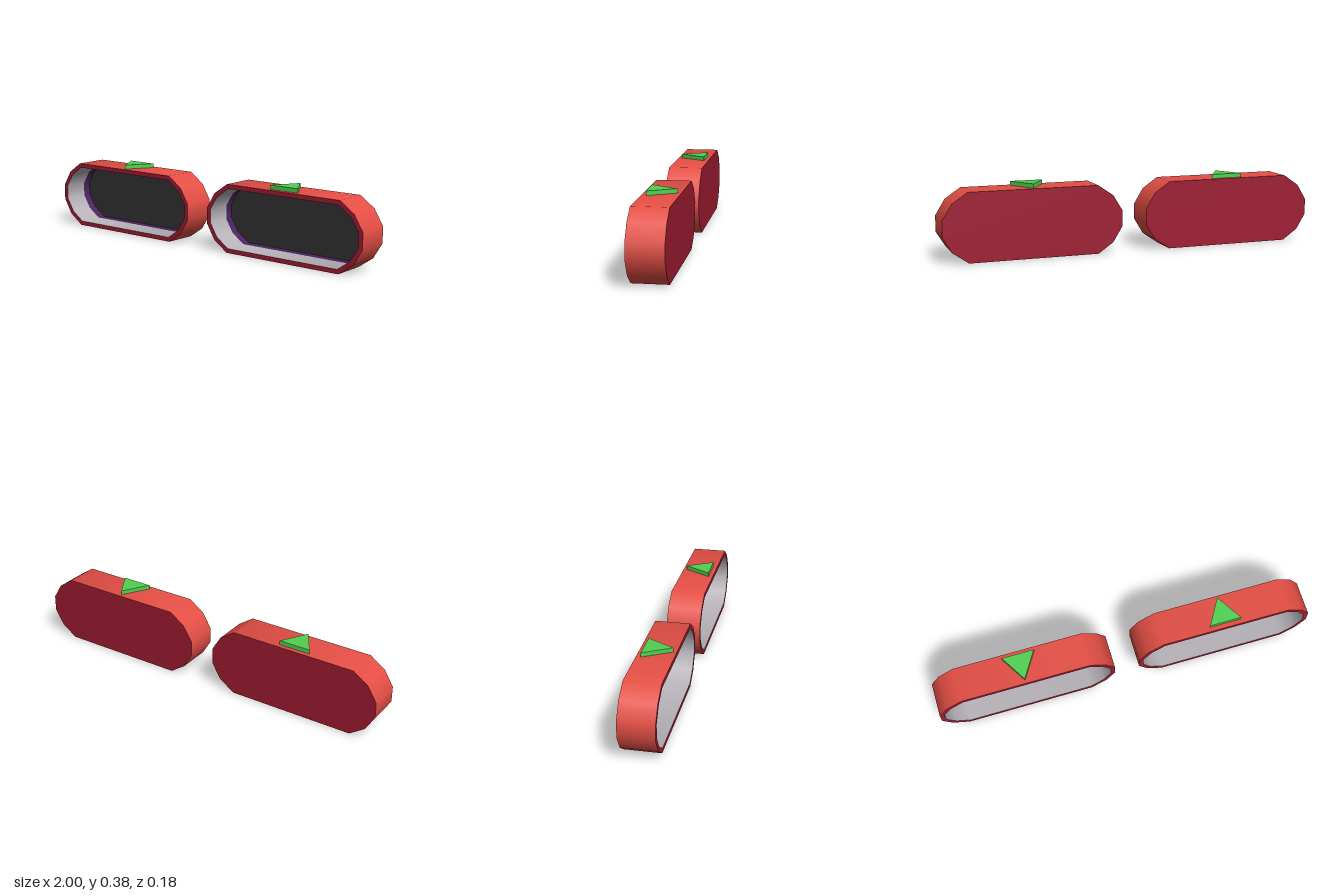
import * as THREE from 'three';

const mat = (name, color) => {
  const m = new THREE.MeshStandardMaterial({ color });
  m.name = name;
  return m;
};

const CX = 0.533, TOP = 0.356, HALF_DEPTH = 0.09, WALL = 0.024;

// Outline of the rounded tray, counter-clockwise about its own centre
const quarter = [[0.467, 0.042], [0.418, 0.122], [0.337, TOP / 2]];
const flip = (sx, sy) => quarter.map(([x, y]) => new THREE.Vector2(x * sx, y * sy));
const outer = [...flip(1, 1), ...flip(-1, 1).reverse(), ...flip(-1, -1), ...flip(1, -1).reverse()];

// Smooth outward normals at the outline points
const normals = outer.map((p, i) => {
  const n = outer.length;
  const a = p.clone().sub(outer[(i + n - 1) % n]).normalize();
  const b = outer[(i + 1) % n].clone().sub(p).normalize();
  const t = a.add(b).normalize();
  return new THREE.Vector2(t.y, -t.x);
});
const inner = outer.map((p, i) => p.clone().addScaledVector(normals[i], -WALL));

// Closed wall between two depths; facing is 1 for outward, -1 for inward
function band(points, zBack, zFront, facing) {
  const pos = [], nor = [], idx = [], n = points.length;
  points.forEach((p, i) => {
    for (const z of [zBack, zFront]) {
      pos.push(p.x, p.y, z);
      nor.push(normals[i].x * facing, normals[i].y * facing, 0);
    }
    const a = 2 * i, b = 2 * ((i + 1) % n);
    if (facing > 0) idx.push(a, b, b + 1, a, b + 1, a + 1);
    else idx.push(a, b + 1, b, a, a + 1, b + 1);
  });
  const g = new THREE.BufferGeometry();
  g.setAttribute('position', new THREE.Float32BufferAttribute(pos, 3));
  g.setAttribute('normal', new THREE.Float32BufferAttribute(nor, 3));
  g.setIndex(idx);
  return g;
}

export function createModel() {
  const red = mat('shell red', 0xe64f45);
  const maroon = mat('rim maroon', 0x9e1b32);
  const grey = mat('lining grey', 0xb8b4ba);
  const purple = mat('deep lining purple', 0x4a2360);
  const dark = mat('panel charcoal', 0x313131);
  const green = mat('arrow green', 0x50d050);

  const model = new THREE.Group();
  model.name = 'pairOfTrays';

  const add = (parent, name, geometry, material) => {
    const mesh = new THREE.Mesh(geometry, material);
    mesh.name = name;
    parent.add(mesh);
    return mesh;
  };

  const rimShape = new THREE.Shape(outer);
  rimShape.holes.push(new THREE.Path(inner));
  const floorZ = -0.085, seamZ = -0.04;

  for (const side of [-1, 1]) {
    const tray = new THREE.Group();
    tray.name = side > 0 ? 'leftTray' : 'rightTray';
    tray.position.set(side * CX, TOP / 2, 0);
    model.add(tray);

    // Outer shell, front rim and back plate
    add(tray, 'outerShell', band(outer, -HALF_DEPTH, HALF_DEPTH, 1), red);
    add(tray, 'frontRim', new THREE.ShapeGeometry(rimShape), maroon).position.z = HALF_DEPTH;
    const back = add(tray, 'backPlate', new THREE.ShapeGeometry(new THREE.Shape(outer)), maroon);
    back.rotation.y = Math.PI;
    back.position.z = -HALF_DEPTH;

    // Recess: pale lining, dark band at the bottom and the inside panel
    add(tray, 'lining', band(inner, seamZ, HALF_DEPTH, -1), grey);
    add(tray, 'deepLining', band(inner, floorZ, seamZ, -1), purple);
    add(tray, 'insidePanel', new THREE.ShapeGeometry(new THREE.Shape(inner)), dark).position.z = floorZ;

    // Arrow on top, pointing back on one tray and forward on the other
    const triangle = new THREE.Shape([
      new THREE.Vector2(-0.084, -0.066),
      new THREE.Vector2(0.084, -0.066),
      new THREE.Vector2(0, 0.073),
    ]);
    const arrow = add(tray, 'directionArrow',
      new THREE.ExtrudeGeometry(triangle, { depth: 0.022, bevelEnabled: false }).rotateX(-Math.PI / 2), green);
    arrow.position.y = TOP / 2;
    if (side < 0) arrow.rotation.y = Math.PI;
  }
  return model;
}
